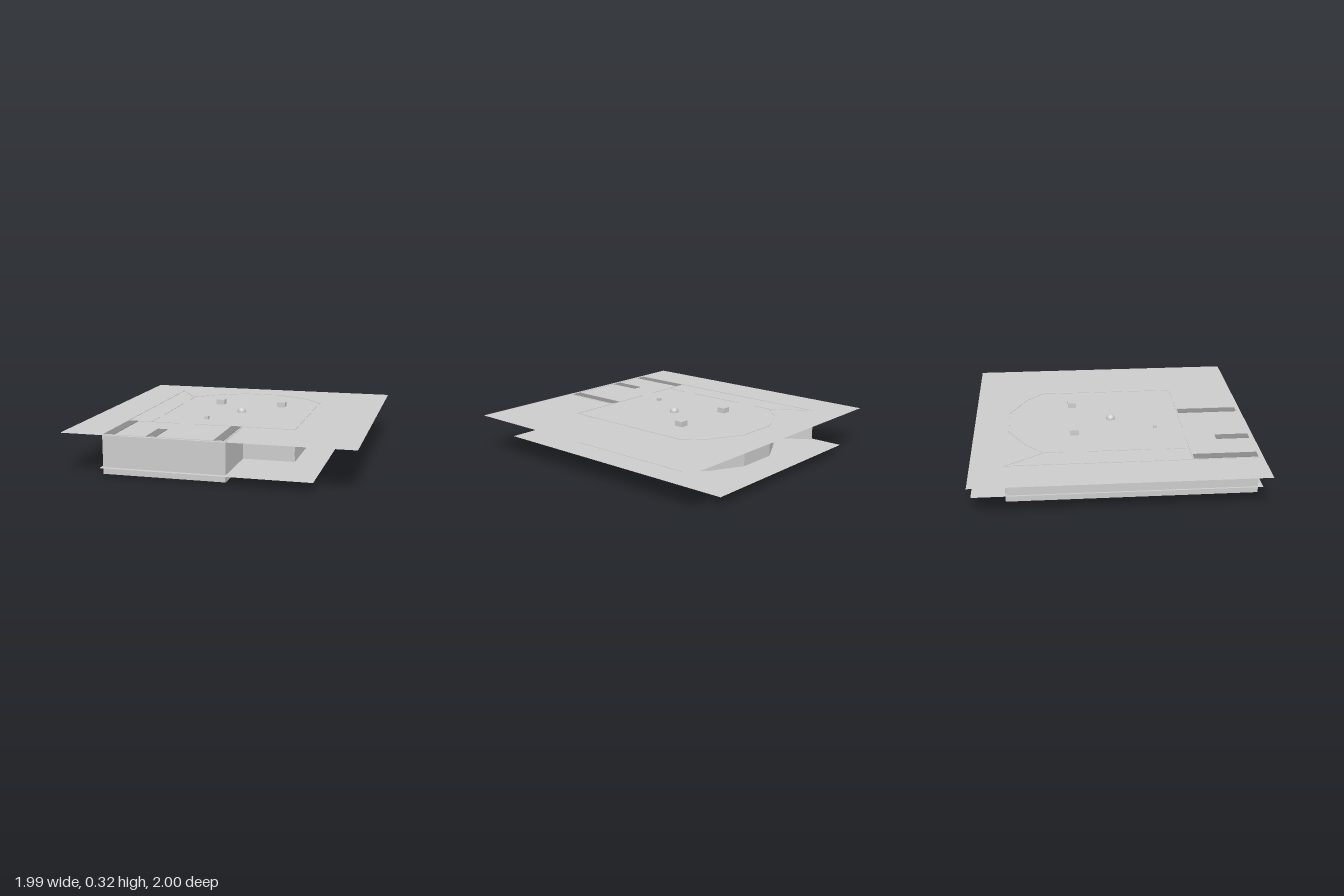
import * as THREE from 'three';

const FLOOR = 0.062, CEILING = 0.285, WALL_BOTTOM = 0.015, WALL_TOP = 0.288, THICK = 0.008;

export function createModel() {
  const model = new THREE.Group();
  const grey = new THREE.MeshStandardMaterial({ color: 0xcccccc, flatShading: true });
  const sheet = new THREE.MeshStandardMaterial({ color: 0xcccccc, side: THREE.DoubleSide });
  const dark = new THREE.MeshStandardMaterial({ color: 0x8a8a8a });
  const smooth = new THREE.MeshStandardMaterial({ color: 0xcccccc });

  const add = (name, geometry, material, x, y, z) => {
    const mesh = new THREE.Mesh(geometry, material);
    mesh.name = name;
    mesh.position.set(x, y, z);
    model.add(mesh);
    return mesh;
  };
  // upright box given by its centre on the plan and its bottom and top
  const block = (name, x, z, w, d, y0, y1, material = grey) =>
    add(name, new THREE.BoxGeometry(w, y1 - y0, d), material, x, (y0 + y1) / 2, z);
  // thin wall between two points of the plan
  const wall = (name, [x0, z0], [x1, z1]) => {
    const length = Math.hypot(x1 - x0, z1 - z0);
    const mesh = block(name, (x0 + x1) / 2, (z0 + z1) / 2, length + THICK / 2, THICK, WALL_BOTTOM, WALL_TOP);
    mesh.rotation.y = -Math.atan2(z1 - z0, x1 - x0);
  };
  const wallRun = (name, points) => {
    for (let i = 1; i < points.length; i++) wall(name, points[i - 1], points[i]);
  };

  // floor and ceiling sheets
  add('floor', new THREE.PlaneGeometry(1.435, 2).rotateX(-Math.PI / 2), sheet, 0, FLOOR, 0);
  add('ceiling', new THREE.PlaneGeometry(1.985, 1.985).rotateX(-Math.PI / 2), sheet, -0.003, CEILING, -0.003);

  // main room: faceted bay at the back, right side and front with a doorway
  wallRun('mainRoomWall', [[-0.525, -0.5], [-0.39, -0.625], [-0.16, -0.75], [0.14, -0.75],
    [0.38, -0.625], [0.503, -0.5], [0.503, 0.51], [-0.2, 0.51]]);
  wall('mainRoomWall', [-0.33, 0.51], [-0.7, 0.51]);

  // corridor partition with two doorways
  for (const [z0, z1] of [[0.51, 0.35], [0.23, -0.2], [-0.36, -0.5]])
    wall('corridorWall', [-0.525, z0], [-0.525, z1]);

  // outer side wall, angled end and front room
  wallRun('outerWall', [[-0.525, -0.5], [-0.7, -0.762], [-0.7, 0.962], [0.138, 0.962], [0.138, 0.51]]);

  // dark cabinets in the front room
  for (const [x, z0] of [[-0.657, 0.51], [-0.367, 0.72], [0.093, 0.51]])
    block('cabinet', x, (z0 + 0.955) / 2, 0.067, 0.955 - z0, FLOOR - 0.004, WALL_TOP, dark);

  // pillars and post through the ceiling
  for (const x of [-0.235, 0.245]) block('pillar', x, -0.277, 0.062, 0.062, 0.025, 0.322);
  block('post', -0.178, 0.31, 0.028, 0.028, 0, 0.305);

  // round lamp
  add('lamp', new THREE.SphereGeometry(0.032, 32, 16), smooth, 0, 0.289, 0);

  // counter and a row of stools standing on the floor
  block('counter', -0.41, -0.05, 0.02, 0.38, FLOOR - 0.001, 0.13);
  for (let i = 0; i < 6; i++)
    block('stool', 0.4 - i * 0.095, 0.395 - i * 0.033, 0.022, 0.022, FLOOR - 0.004, 0.11);

  return model;
}
